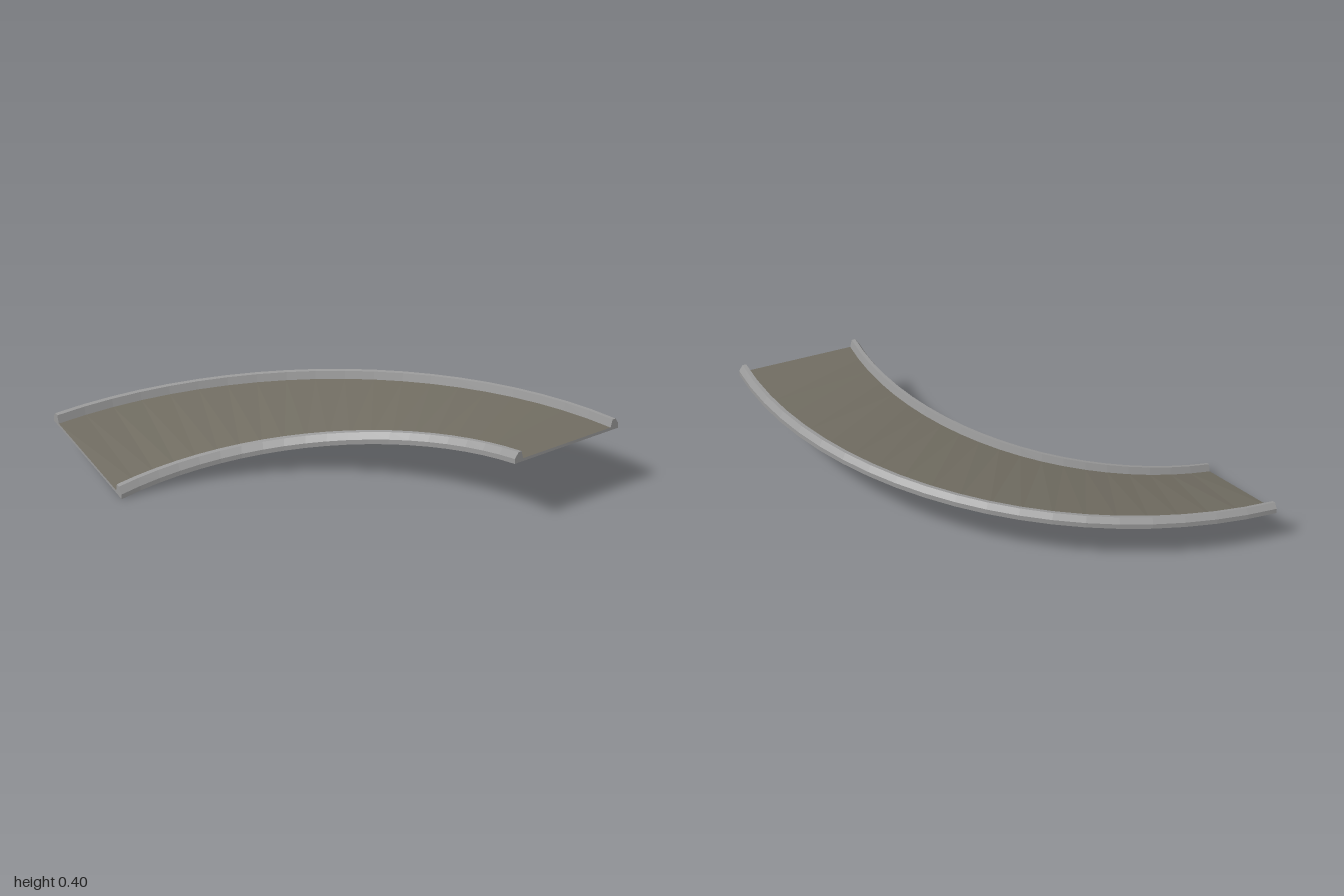
import * as THREE from 'three';

const SEGMENTS = 20;
const INNER = 1.34, OUTER = 2.0;

// Point on the banked, climbing quarter turn: s runs 0..1 along it, r is the radius, h the height above the base
function place(s, r, h) {
  const angle = s * Math.PI / 2;
  const across = (r - INNER) / (OUTER - INNER);
  const base = 0.34 * s + across * 0.17 * (1 - s);
  return [-1 + r * Math.sin(angle), base + h, 1 - r * Math.cos(angle)];
}

// Sweep the profile edges along the turn; optionally cap both ends
function sweep(profile, edges, capped) {
  const pos = [];
  const tri = (a, b, c) => pos.push(...a, ...b, ...c);
  for (let i = 0; i < SEGMENTS; i++) {
    const s0 = i / SEGMENTS, s1 = (i + 1) / SEGMENTS;
    for (const e of edges) {
      const a = profile[e], b = profile[(e + 1) % profile.length];
      const a0 = place(s0, ...a), b0 = place(s0, ...b);
      const a1 = place(s1, ...a), b1 = place(s1, ...b);
      tri(a0, b0, b1);
      tri(a0, b1, a1);
    }
  }
  if (capped) {
    const outline = profile.map(([r, h]) => new THREE.Vector2(r, h));
    for (const [a, b, c] of THREE.ShapeUtils.triangulateShape(outline, [])) {
      tri(place(1, ...profile[a]), place(1, ...profile[b]), place(1, ...profile[c]));
      tri(place(0, ...profile[a]), place(0, ...profile[c]), place(0, ...profile[b]));
    }
  }
  const geometry = new THREE.BufferGeometry();
  geometry.setAttribute('position', new THREE.Float32BufferAttribute(pos, 3));
  geometry.computeVertexNormals();
  return geometry;
}

export function createModel() {
  const concrete = new THREE.MeshStandardMaterial({ color: 0x999999 });
  concrete.name = 'concrete grey';
  const asphalt = new THREE.MeshStandardMaterial({ color: 0x706c61 });
  asphalt.name = 'road brown grey';

  // Kerb outline as [inset from the edge, height], from the foot out to the lower edge
  const kerb = [[0.05, 0.015], [0.04, 0.055], [0.02, 0.055], [0, 0.025], [0, 0]];
  const innerKerb = kerb.map(([d, h]) => [INNER + d, h]);
  const outerKerb = kerb.map(([d, h]) => [OUTER - d, h]).reverse();
  // Counter-clockwise: underside, outer kerb, road, inner kerb
  const profile = [...outerKerb, ...innerKerb];
  const roadEdge = kerb.length - 1;
  const bodyEdges = profile.map((_, i) => i).filter((i) => i !== roadEdge);

  const model = new THREE.Group();
  model.name = 'bankedRoadCurve';

  // Slab with both kerbs, its underside and its ends
  const body = new THREE.Mesh(sweep(profile, bodyEdges, true), concrete);
  body.name = 'slabAndKerbs';

  // Road surface between the kerbs
  const road = new THREE.Mesh(sweep(profile, [roadEdge], false), asphalt);
  road.name = 'roadSurface';

  model.add(body, road);
  return model;
}
